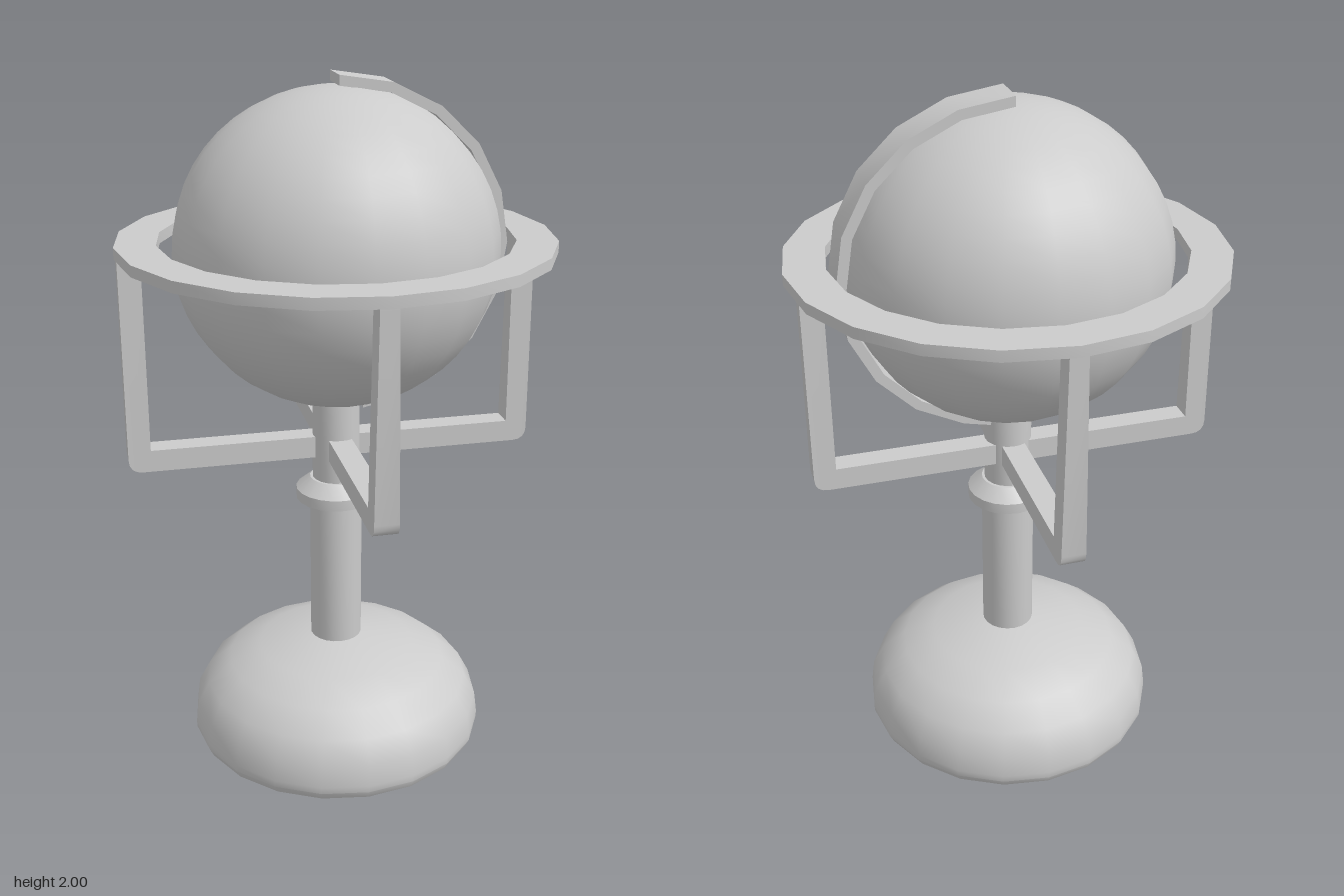
import * as THREE from 'three';
import { toCreasedNormals } from 'three/addons/utils/BufferGeometryUtils.js';

const SIDES = 20;
const CENTRE_Y = 1.53;
const STRETCH = 0.97; // the globe is slightly flattened
const material = new THREE.MeshStandardMaterial({ color: 0xcccccc });

function part(name, geometry) {
  const mesh = new THREE.Mesh(toCreasedNormals(geometry, 0.5), material);
  mesh.name = name;
  return mesh;
}

// Revolved part from [radius, height] pairs, listed from bottom to top
function turned(name, profile) {
  const points = profile.map(([r, y]) => new THREE.Vector2(r, y));
  return part(name, new THREE.LatheGeometry(points, SIDES));
}

// Half meridian: a flat band curved over the +x side of the globe
function meridianGeometry() {
  const angles = [];
  for (let i = 0; i <= 9; i++) angles.push(i * Math.PI / 10);
  angles.push(Math.PI * 0.953);
  const arc = (r) => angles.map((a) => new THREE.Vector2(
    Math.sin(a) * r, CENTRE_Y + Math.cos(a) * r * STRETCH));
  const shape = new THREE.Shape([...arc(0.487), ...arc(0.458).reverse()]);
  const geometry = new THREE.ExtrudeGeometry(shape, { depth: 0.115, bevelEnabled: false });
  return geometry.translate(0, 0, -0.075);
}

// L-shaped arm with a rounded elbow; the upright narrows towards the top
function armGeometry(reach) {
  const t = 0.064, low = 0.912, top = 1.535, round = 0.04;
  const shape = new THREE.Shape();
  shape.moveTo(0, low);
  shape.lineTo(reach - round, low);
  shape.quadraticCurveTo(reach, low, reach, low + round);
  shape.lineTo(reach, top);
  shape.lineTo(reach - t, top);
  shape.lineTo(reach - t, low + t);
  shape.lineTo(0, low + t);
  shape.closePath();
  const geometry = new THREE.ExtrudeGeometry(shape, { depth: 1, bevelEnabled: false, curveSegments: 4 });
  geometry.translate(0, 0, -0.5);
  const p = geometry.attributes.position;
  for (let i = 0; i < p.count; i++) {
    const k = THREE.MathUtils.clamp((p.getY(i) - low - t) / (top - low - t), 0, 1);
    p.setZ(i, p.getZ(i) * THREE.MathUtils.lerp(0.068, 0.05, k));
  }
  geometry.computeVertexNormals();
  return geometry;
}

export function createModel() {
  const model = new THREE.Group();
  model.name = 'globeOnStand';

  // Foot and pillar
  model.add(turned('base', [
    [0, 0], [0.43, 0.005], [0.443, 0.03], [0.443, 0.05], [0.435, 0.114],
    [0.4, 0.18], [0.33, 0.24], [0.235, 0.282], [0.075, 0.32], [0, 0.32],
  ]));
  model.add(turned('lowerColumn', [[0.077, 0.3], [0.077, 0.79]]));
  model.add(turned('collar', [
    [0.07, 0.776], [0.118, 0.776], [0.118, 0.808], [0.077, 0.842], [0, 0.842],
  ]));
  model.add(turned('upperColumn', [[0.069, 0.83], [0.069, 1.12]]));

  // Globe
  const globe = new THREE.Mesh(new THREE.SphereGeometry(0.456, SIDES, 24), material);
  globe.name = 'globe';
  globe.scale.y = STRETCH;
  globe.position.y = CENTRE_Y;
  model.add(globe);
  model.add(part('meridian', meridianGeometry()));

  // Horizon ring
  model.add(turned('horizonRing', [
    [0.497, 1.53], [0.612, 1.53], [0.612, 1.562], [0.497, 1.562], [0.497, 1.53],
  ]));

  // Four arms carrying the ring, meeting just off the pillar's axis
  const arms = new THREE.Group();
  arms.name = 'ringArms';
  for (let i = 0; i < 4; i++) {
    const arm = part('ringArm', armGeometry(0.593));
    arm.rotation.y = i * Math.PI / 2;
    arms.add(arm);
  }
  arms.position.set(-0.013, 0, -0.013);
  // The front and back arms sit centred on the pillar in x
  arms.children[1].position.x = arms.children[3].position.x = 0.013;
  arms.children[1].position.z = arms.children[3].position.z = 0.008;
  model.add(arms);

  return model;
}
